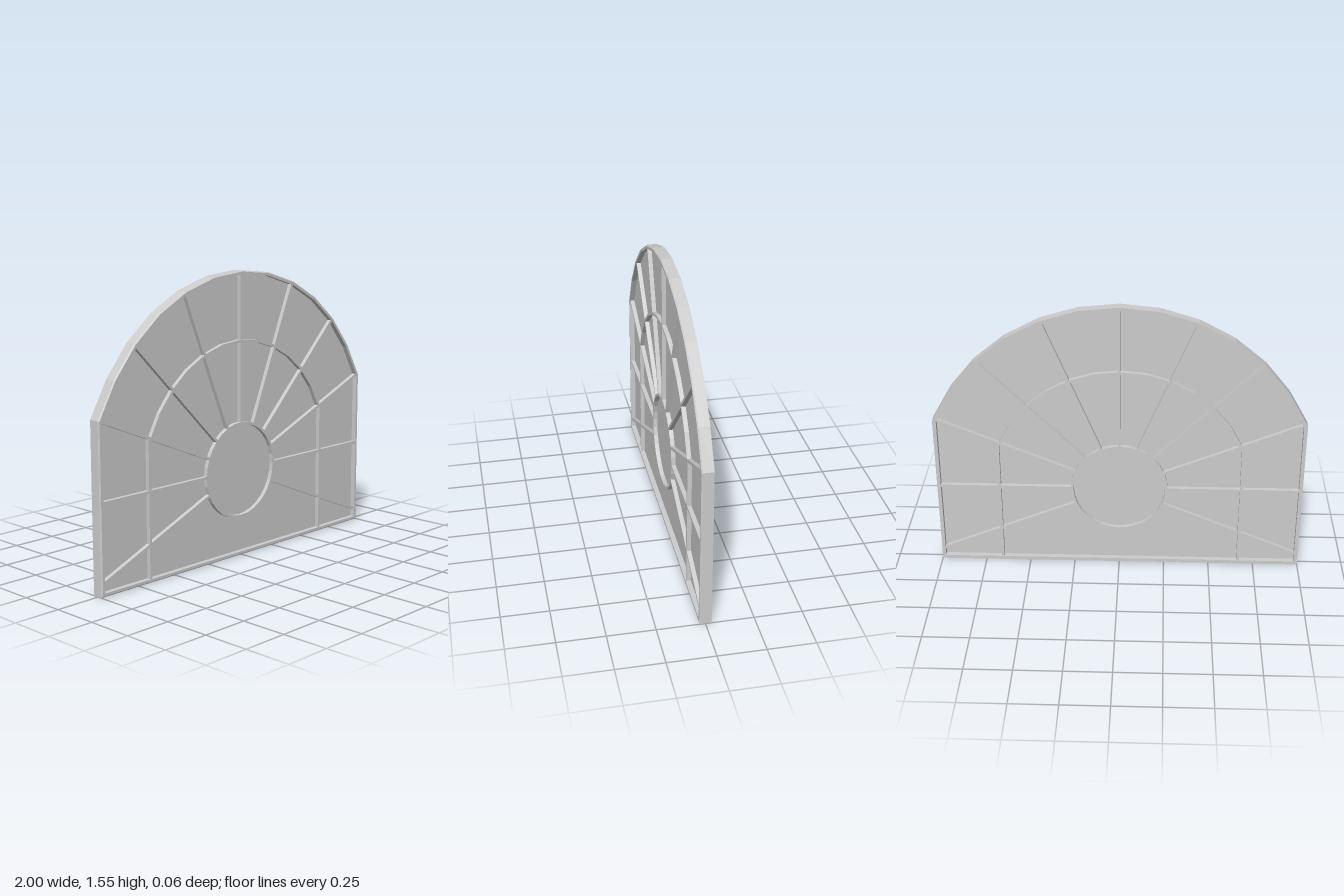
import * as THREE from 'three';

const CY = 0.475;      // centre height of the fan
const R = 1.075;       // outer arch radius
const STEP = Math.PI / 16;
const HALF = 0.031;    // half depth of the frame
const BAR_W = 0.015, BAR_HALF = 0.026;

// Arched outline, counter-clockwise, inset by d
function outline(d) {
  const pts = [[-1 + d, d], [1 - d, d], [1 - d, 0.885 - d * 0.3]];
  for (let i = 3; i <= 13; i++) {
    const a = i * STEP;
    pts.push([(R - d) * Math.cos(a), CY + (R - d) * Math.sin(a)]);
  }
  pts.push([-1 + d, 0.885 - d * 0.3]);
  return pts;
}

// Closed frame swept through inset/depth sections, with a chamfered front edge
function frameGeometry() {
  const sections = [[0, -HALF], [0, HALF - 0.007], [0.006, HALF], [0.02, HALF], [0.02, -HALF]];
  const loops = sections.map(([d, z]) => outline(d).map(([x, y]) => [x, y, z]));
  const pos = [];
  const n = loops[0].length;
  loops.forEach((loop, j) => {
    const next = loops[(j + 1) % loops.length];
    for (let i = 0; i < n; i++) {
      const k = (i + 1) % n;
      pos.push(...loop[i], ...loop[k], ...next[k], ...loop[i], ...next[k], ...next[i]);
    }
  });
  const g = new THREE.BufferGeometry();
  g.setAttribute('position', new THREE.Float32BufferAttribute(pos, 3));
  g.computeVertexNormals();
  return g;
}

function extrude(shape, half) {
  const g = new THREE.ExtrudeGeometry(shape, { depth: half * 2, bevelEnabled: false });
  g.translate(0, 0, -half);
  return g;
}

const circle = (r, a0, a1, n, cx = 0) => Array.from({ length: n + 1 }, (_, i) => {
  const a = a0 + (a1 - a0) * i / n;
  return new THREE.Vector2(cx + r * Math.cos(a), CY + r * Math.sin(a));
});

export function createModel() {
  const group = new THREE.Group();
  const mat = new THREE.MeshStandardMaterial({ color: 0xcccccc, flatShading: true });
  const add = (name, geometry) => {
    const mesh = new THREE.Mesh(geometry, mat);
    mesh.name = name;
    group.add(mesh);
    return mesh;
  };

  // Straight glazing bar between two points
  const bar = (name, x0, y0, x1, y1) => {
    const m = add(name, new THREE.BoxGeometry(Math.hypot(x1 - x0, y1 - y0), BAR_W, BAR_HALF * 2));
    m.position.set((x0 + x1) / 2, (y0 + y1) / 2, 0);
    m.rotation.z = Math.atan2(y1 - y0, x1 - x0);
  };

  add('frame', frameGeometry());

  // Thin pane in the middle of the depth
  const pane = new THREE.Shape(outline(0.012).map(([x, y]) => new THREE.Vector2(x, y)));
  add('pane', extrude(pane, 0.003));

  // Radial bars, cut off at the arch or at the straight sides
  for (let i = -1; i <= 9; i++) {
    const a = i * Math.PI / 8, c = Math.cos(a), s = Math.sin(a);
    const r = Math.min(R - 0.012, 0.985 / Math.max(Math.abs(c), 1e-6));
    bar('radialBar', 0.258 * c, CY + 0.258 * s, r * c, CY + r * s);
  }

  // Central ring
  const ring = new THREE.Shape(circle(0.265, 0, Math.PI * 2, 32));
  ring.holes.push(new THREE.Path(circle(0.251, 0, Math.PI * 2, 32)));
  add('centreRing', extrude(ring, BAR_HALF));

  // Middle arch and the two uprights that carry it
  const a0 = Math.PI / 8, a1 = Math.PI * 7 / 8, cx = -0.005;
  const arch = new THREE.Shape([
    ...circle(0.71, a0, a1, 12, cx), ...circle(0.695, a1, a0, 12, cx)]);
  add('middleArch', extrude(arch, BAR_HALF));
  for (const side of [-1, 1]) {
    const x = cx + side * 0.662;
    bar('upright', x, 0.012, x, 0.745);
  }
  return group;
}
